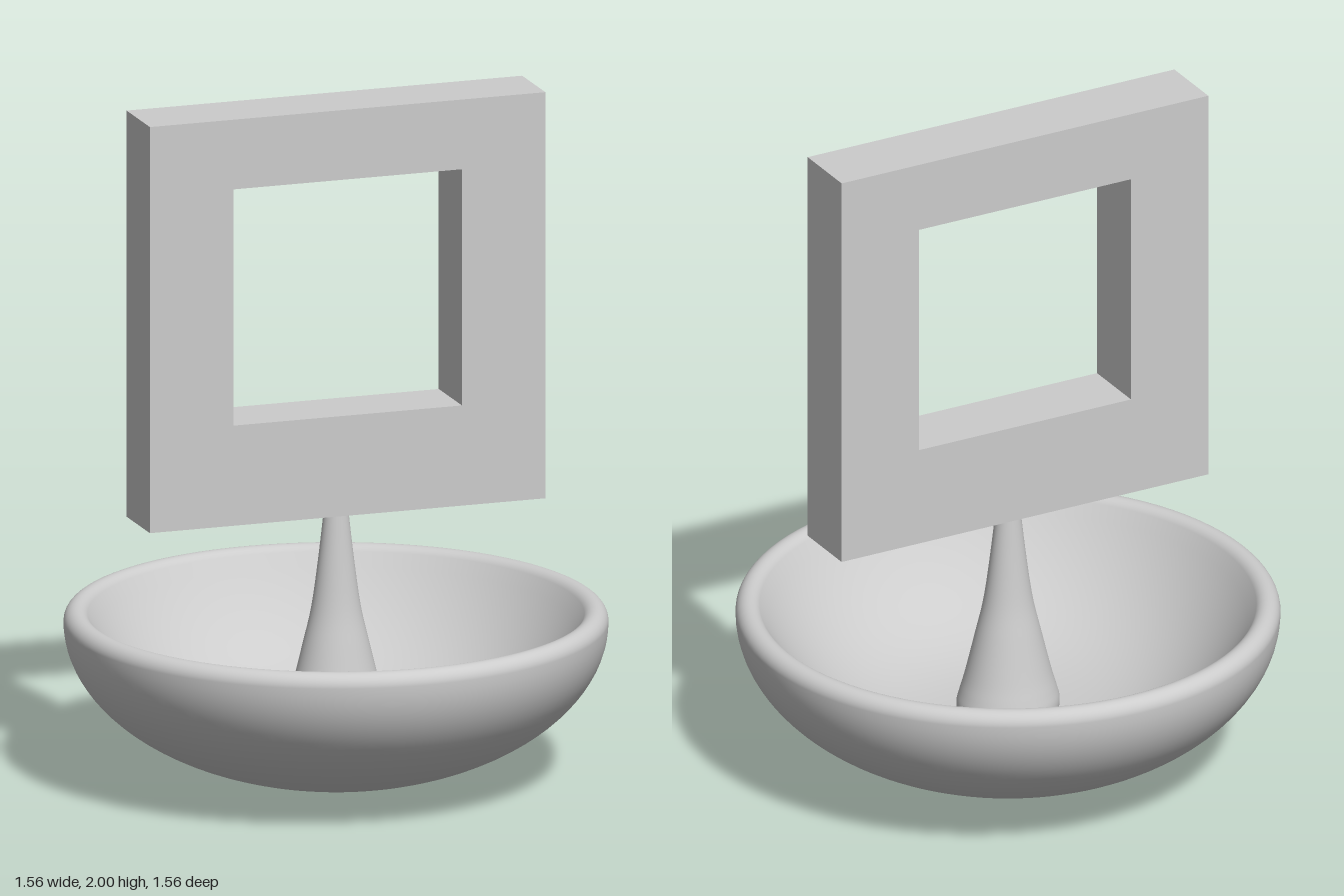
import * as THREE from 'three';

const grey = new THREE.MeshStandardMaterial({ color: 0xcccccc });
grey.name = 'grey';

function add(group, name, geometry) {
  const mesh = new THREE.Mesh(geometry, grey);
  mesh.name = name;
  group.add(mesh);
  return mesh;
}

// Points on an elliptical arc, angles in degrees from +r towards +y
function arc(cr, cy, rr, ry, from, to, steps) {
  return Array.from({ length: steps + 1 }, (_, i) => {
    const a = THREE.MathUtils.degToRad(from + ((to - from) * i) / steps);
    return new THREE.Vector2(Math.max(0, cr + rr * Math.cos(a)), cy + ry * Math.sin(a));
  });
}

export function createModel() {
  const model = new THREE.Group();
  model.name = 'framedBowl';

  // Hollow bowl: outer shell, rounded rim, then an inner wall easing into a flatter floor
  const rimY = 0.465;
  const floorY = 0.145;
  const lip = arc(0.742, rimY, 0.038, 0.04, 0, 146, 12);
  const edge = lip[lip.length - 1];
  const inner = Array.from({ length: 28 }, (_, i) => {
    const t = 1 - (i + 1) / 28;
    return new THREE.Vector2(edge.x * t, floorY + (edge.y - floorY) * t ** 3.3);
  });
  const bowlProfile = [...arc(0, rimY, 0.78, rimY, -90, 0, 28), ...lip.slice(1), ...inner];
  add(model, 'bowl', new THREE.LatheGeometry(bowlProfile, 96));

  // Flared stem with a slightly oval section, wider across the front
  const flare = new THREE.SplineCurve([
    [0.125, 0.12], [0.133, 0.16], [0.134, 0.19], [0.126, 0.225],
    [0.112, 0.28], [0.086, 0.4], [0.0635, 0.51], [0.045, 0.66], [0.03, 0.81],
  ].map(([r, y]) => new THREE.Vector2(r, y)));
  const stem = new THREE.LatheGeometry(flare.getPoints(40), 48);
  stem.scale(1.13, 1, 1);
  add(model, 'stem', stem);

  // Square frame with a square opening
  const shape = new THREE.Shape();
  shape.moveTo(-0.6, 0.8).lineTo(0.6, 0.8).lineTo(0.6, 2).lineTo(-0.6, 2).closePath();
  const opening = new THREE.Path();
  opening.moveTo(-0.347, 1.096).lineTo(-0.347, 1.794).lineTo(0.347, 1.794).lineTo(0.347, 1.096).closePath();
  shape.holes.push(opening);
  const frame = new THREE.ExtrudeGeometry(shape, { depth: 0.2, bevelEnabled: false });
  frame.translate(0, 0, -0.1);
  add(model, 'frame', frame);

  return model;
}
